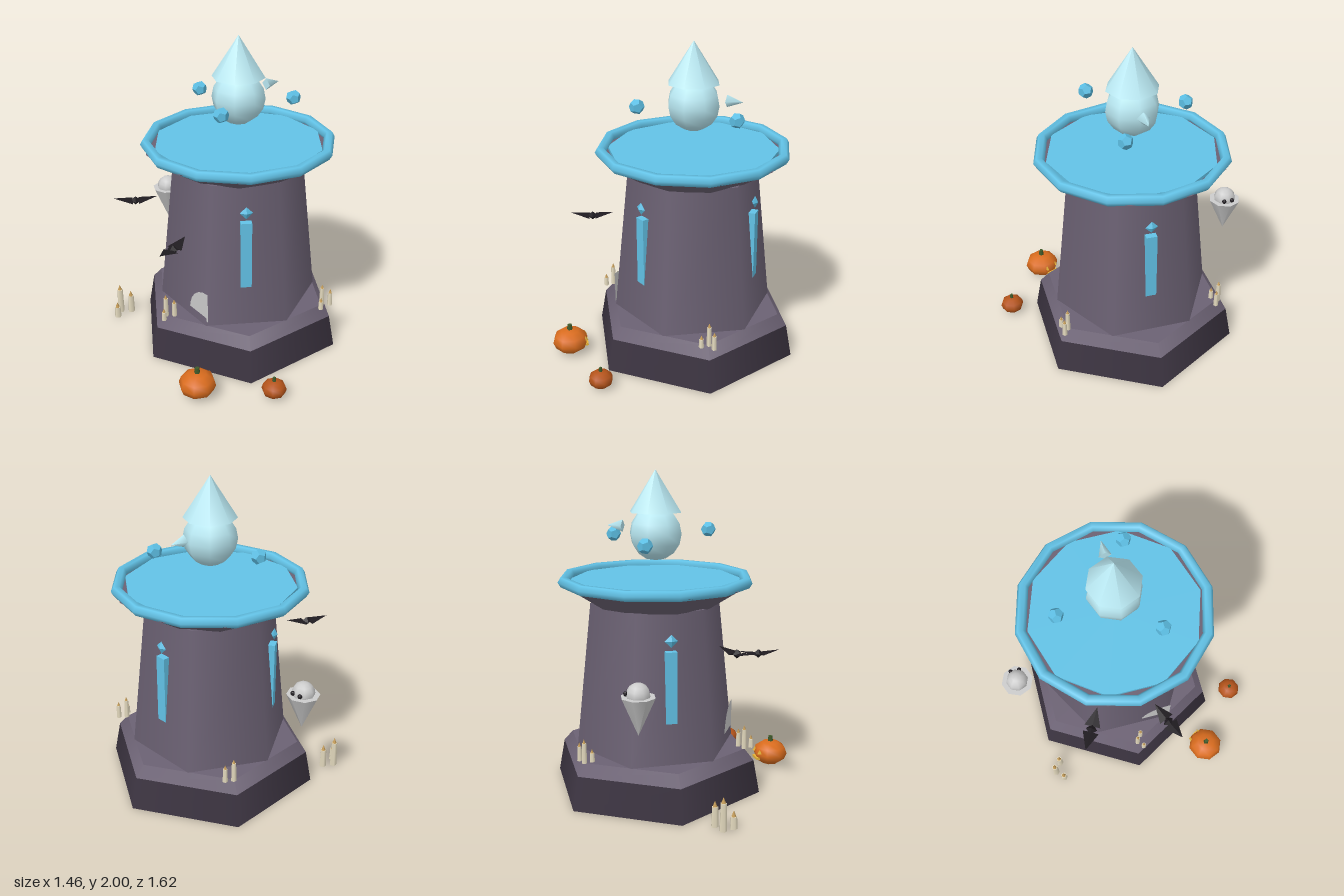
import * as THREE from 'three';

const mat = (color, extra = {}) => {
  const m = new THREE.MeshStandardMaterial({ color });
  return Object.assign(m, extra);
};
const STONE = mat(0x6b6173), DARK = mat(0x3d3542), BLUE = mat(0x62c2e6), ORB = mat(0x5cbde2, { flatShading: true });
const PALE = mat(0xb9e8f2), WAX = mat(0xe6dcc0), FLAME = mat(0xc9a05c), STEM = mat(0x3f5a2a);
const ORANGE = mat(0xd96c1e), RUST = mat(0xb5541a), GLOW = mat(0xe8b53a), BLACK = mat(0x1f1b20, { flatShading: true });
const GHOST = mat(0xe6e6e6), WEB = mat(0xcccccc, { side: THREE.DoubleSide });

function add(parent, name, geometry, material, x = 0, y = 0, z = 0) {
  const mesh = new THREE.Mesh(geometry, material);
  mesh.name = name;
  mesh.position.set(x, y, z);
  parent.add(mesh);
  return mesh;
}

function group(parent, name, x = 0, y = 0, z = 0) {
  const g = new THREE.Group();
  g.name = name;
  g.position.set(x, y, z);
  parent.add(g);
  return g;
}

// Tapered prism given by its bottom and top heights
function taper(parent, name, rTop, rBottom, y0, y1, sides, material) {
  return add(parent, name, new THREE.CylinderGeometry(rTop, rBottom, y1 - y0, sides), material, 0, (y0 + y1) / 2, 0);
}

// Three candles of different heights
function candles(parent, x, y, z, s = 1) {
  const g = group(parent, 'candleCluster', x, y, z);
  g.scale.setScalar(s);
  [[-0.037, 0.012, 0.055], [0, -0.022, 0.125], [0.043, 0.008, 0.09]].forEach(([cx, cz, h]) => {
    add(g, 'candle', new THREE.CylinderGeometry(0.014, 0.017, h, 5), WAX, cx, h / 2, cz);
    add(g, 'flame', new THREE.ConeGeometry(0.011, 0.028, 5), FLAME, cx, h + 0.013, cz);
  });
}

function pumpkin(parent, x, z, r, h, material) {
  const g = group(parent, 'pumpkin', x, 0, z);
  const body = add(g, 'pumpkinBody', new THREE.SphereGeometry(r, 8, 6), material, 0, h * 0.53, 0);
  body.scale.y = h / (2 * r);
  add(g, 'pumpkinStem', new THREE.CylinderGeometry(r * 0.12, r * 0.17, h * 0.25, 5), STEM, 0, h * 1.1, 0);
  return g;
}

function bat(parent, x, y, z, turn) {
  const g = group(parent, 'bat', x, y, z);
  g.rotation.y = turn;
  add(g, 'batBody', new THREE.OctahedronGeometry(0.035), BLACK).scale.y = 0.8;
  for (const side of [-1, 1]) {
    const wing = add(g, 'batWing', new THREE.ConeGeometry(0.05, 0.12, 4), BLACK, side * 0.078, 0.01, 0);
    wing.rotation.z = -side * (Math.PI / 2 - 0.2);
    wing.scale.x = 0.16;
  }
}

export function createModel() {
  const model = new THREE.Group();
  model.name = 'hauntedTower';
  const tower = group(model, 'tower', 0.045, 0, -0.03);

  // Stepped hexagonal base and tapering shaft
  taper(tower, 'base', 0.64, 0.68, 0, 0.21, 6, DARK).rotation.y = Math.PI / 6;
  taper(tower, 'baseStep', 0.58, 0.64, 0.21, 0.28, 6, STONE).rotation.y = Math.PI / 6;
  taper(tower, 'shaft', 0.41, 0.508, 0.28, 1.2, 6, STONE);

  // Flared platform with glowing pool and rim
  taper(tower, 'platform', 0.585, 0.39, 1.19, 1.315, 10, STONE);
  taper(tower, 'pool', 0.53, 0.53, 1.3, 1.335, 10, BLUE);
  add(tower, 'rim', new THREE.TorusGeometry(0.572, 0.034, 6, 12), BLUE, 0, 1.335, 0).rotation.x = Math.PI / 2;

  // Three windows, each topped by a gem
  for (let i = 0; i < 3; i++) {
    const w = group(tower, 'window');
    w.rotation.y = Math.PI / 2 + i * Math.PI * 2 / 3;
    add(w, 'windowPane', new THREE.BoxGeometry(0.068, 0.44, 0.06), BLUE, 0, 0.75, 0.388);
    add(w, 'windowGem', new THREE.OctahedronGeometry(0.04), ORB, 0, 1.035, 0.405).scale.z = 0.5;
  }

  // Floating spirit with pointed cap, sideways spike and orbiting crystals
  add(tower, 'spirit', new THREE.SphereGeometry(0.165, 8, 8), PALE, 0, 1.615, 0);
  add(tower, 'spiritCap', new THREE.ConeGeometry(0.163, 0.255, 8), PALE, 0, 1.872, 0);
  add(tower, 'spike', new THREE.ConeGeometry(0.038, 0.1, 4), PALE, 0.262, 1.655, 0).rotation.z = -Math.PI / 2;
  [[-0.235, 1.625, 0.18], [0.365, 1.585, 0.105], [0, 1.585, -0.38]].forEach(([x, y, z]) =>
    add(model, 'crystal', new THREE.DodecahedronGeometry(0.047), ORB, x, y, z));

  // Candles on the base and on the ground
  candles(model, -0.53, 0.28, 0);
  candles(model, 0.342, 0.28, 0.495);
  candles(model, 0.342, 0.28, -0.51);
  candles(model, -0.535, 0, -0.585, 1.38);

  // Pumpkins, the larger one carved
  const carved = pumpkin(model, -0.62, 0.452, 0.114, 0.165, ORANGE);
  pumpkin(model, -0.26, 0.737, 0.076, 0.115, RUST);
  const face = group(carved, 'carvedFace');
  face.rotation.y = Math.PI / 2 + 0.6;
  for (const side of [-1, 1])
    add(face, 'carvedEye', new THREE.ConeGeometry(0.018, 0.03, 3), GLOW, side * 0.04, 0.11, 0.094);
  add(face, 'carvedMouth', new THREE.BoxGeometry(0.075, 0.016, 0.025), GLOW, 0, 0.06, 0.1);

  // Bats
  bat(model, -0.535, 0.975, -0.325, -0.5);
  bat(model, -0.575, 0.855, 0.155, 0.42);

  // Ghost facing +x
  const ghost = group(model, 'ghost', -0.06, 0, -0.707);
  add(ghost, 'ghostHead', new THREE.SphereGeometry(0.071, 8, 8), GHOST, 0, 0.8, 0);
  add(ghost, 'ghostTail', new THREE.ConeGeometry(0.102, 0.23, 8), GHOST, 0, 0.675, 0).rotation.x = Math.PI;
  for (const side of [-1, 1])
    add(ghost, 'ghostEye', new THREE.SphereGeometry(0.015, 6, 6), BLACK, 0.064, 0.81, side * 0.027);

  // Cobweb against the shaft
  const web = add(model, 'cobweb', new THREE.CircleGeometry(0.2, 6, 0, Math.PI / 2), WEB, -0.39, 0.31, 0.24);
  web.rotation.y = Math.PI / 2;

  return model;
}
